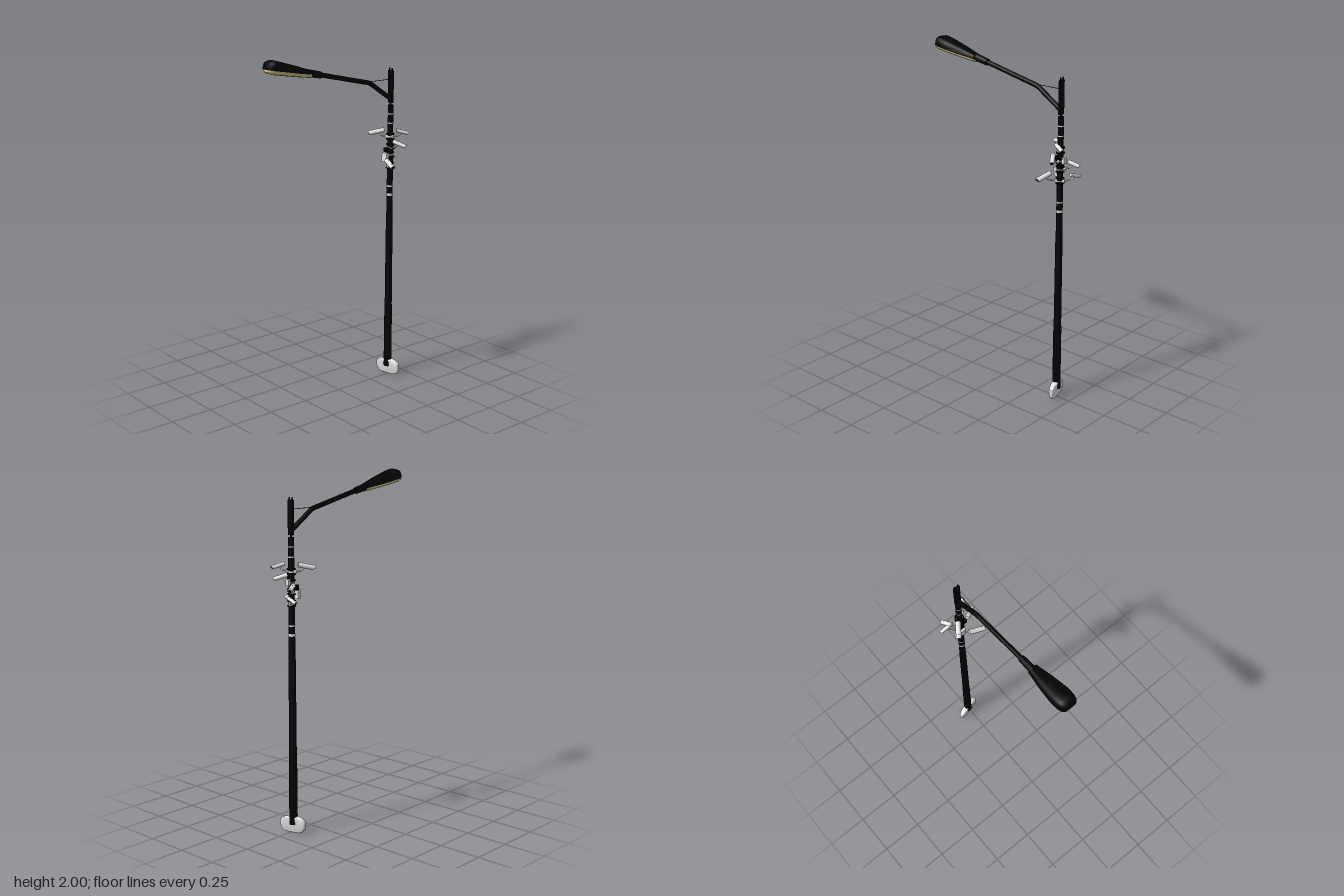
import * as THREE from 'three';
import { toCreasedNormals } from 'three/addons/utils/BufferGeometryUtils.js';

const mat = (name, color, side = THREE.FrontSide) =>
  Object.assign(new THREE.MeshStandardMaterial({ color, side }), { name });

export function createModel() {
  const model = new THREE.Group();
  model.name = 'streetLampWithCameras';
  const black = mat('blackPaint', 0x030303);
  const grey = mat('lightGrey', 0xe4e4e4, THREE.DoubleSide);
  const khaki = mat('lampGlass', 0xd8cc88);
  const PX = -0.01, PZ = -0.399; // pole axis
  const V = (x, y, z) => new THREE.Vector3(x, y, z);

  function add(name, geo, material, x = 0, y = 0, z = 0, parent = model) {
    const m = new THREE.Mesh(geo, material);
    m.name = name;
    m.position.set(x, y, z);
    parent.add(m);
    return m;
  }
  // Straight rod between two points
  function rod(name, a, b, r0, r1, material, sides = 12) {
    const m = add(name, new THREE.CylinderGeometry(r1, r0, a.distanceTo(b), sides), material);
    m.position.copy(a).add(b).multiplyScalar(0.5);
    m.quaternion.setFromUnitVectors(V(0, 1, 0), b.clone().sub(a).normalize());
    return m;
  }

  // Stepped pole with a narrow neck at the top
  const profile = [[0, 0.05], [0.024, 0.05], [0.023, 0.44], [0.0215, 0.45], [0.02, 1.0],
    [0.0185, 1.01], [0.0175, 1.3], [0.017, 1.31], [0.016, 1.67], [0.006, 1.671], [0.006, 1.69], [0, 1.69]];
  add('pole', toCreasedNormals(new THREE.LatheGeometry(
    profile.map(p => new THREE.Vector2(...p)), 16), 0.6), black, PX, 0, PZ);

  // Pale straps around the pole
  for (const [y, r, h] of [[1.138, 0.0193, 0.014], [1.19, 0.0191, 0.008],
    [1.565, 0.0175, 0.006], [1.62, 0.0173, 0.007]])
    add('poleBand', new THREE.CylinderGeometry(r, r, h, 16), grey, PX, y, PZ);

  // Flat mounting plate and pins on top
  add('topPlate', new THREE.BoxGeometry(0.036, 0.187, 0.012), black, PX, 1.7765, PZ);
  for (const s of [-1, 1])
    add('topPin', new THREE.CylinderGeometry(0.004, 0.004, 0.016, 8), black, PX + s * 0.011, 1.876, PZ);

  // Leaf-shaped upright foot shell, set slightly askew
  const foot = new THREE.Shape();
  foot.moveTo(-0.04, 0.012);
  foot.lineTo(0.03, 0.012);
  foot.quadraticCurveTo(0.056, 0.016, 0.06, 0.035);
  foot.lineTo(0.06, 0.07);
  foot.quadraticCurveTo(0.045, 0.09, 0, 0.092);
  foot.lineTo(-0.035, 0.091);
  foot.quadraticCurveTo(-0.075, 0.085, -0.076, 0.055);
  foot.quadraticCurveTo(-0.075, 0.014, -0.04, 0.012);
  const footGeo = new THREE.ExtrudeGeometry(foot, {
    depth: 0.016, bevelThickness: 0.012, bevelSize: 0.008, bevelSegments: 4, curveSegments: 8 });
  footGeo.translate(0, 0, -0.008);
  const fp = footGeo.attributes.position; // thinner towards the bottom and both ends
  for (let i = 0; i < fp.count; i++) {
    const x = fp.getX(i), low = 0.6 + 0.4 * Math.min(1, fp.getY(i) / 0.06);
    fp.setZ(i, fp.getZ(i) * low * (1 - 60 * (x + 0.01) ** 2) - 0.24 * (x + 0.01));
  }
  footGeo.computeVertexNormals();
  add('foot', toCreasedNormals(footGeo, 0.7), grey, 0, -0.004, PZ);

  // Lamp arm, tie rod and sleeve
  const arm = new THREE.CurvePath();
  const root = V(PX, 1.705, PZ), b0 = V(PX, 1.795, -0.262), b1 = V(PX, 1.817, -0.215), tip = V(PX, 1.895, 0.14);
  arm.add(new THREE.LineCurve3(root, b0));
  arm.add(new THREE.QuadraticBezierCurve3(b0, V(PX, 1.812, -0.24), b1));
  arm.add(new THREE.LineCurve3(b1, tip));
  add('lampArm', new THREE.TubeGeometry(arm, 40, 0.0135, 12), black);
  rod('tieRod', V(PX, 1.82, PZ), V(PX, 1.82, -0.235), 0.0018, 0.0018, black, 6);
  rod('armSleeve', V(PX, 1.89, 0.12), V(PX, 1.91, 0.215), 0.019, 0.021, black, 16);

  // Lamp head cross-sections: z, half width, top, rim, bottom
  const sections = [[0.2, 0, 1.905, 1.905, 1.905], [0.2, 0.028, 1.925, 1.902, 1.882],
    [0.3, 0.045, 1.957, 1.918, 1.896], [0.4, 0.056, 1.986, 1.936, 1.912],
    [0.45, 0.054, 1.999, 1.944, 1.92], [0.475, 0.047, 1.994, 1.948, 1.928],
    [0.487, 0.034, 1.978, 1.95, 1.937], [0.488, 0, 1.955, 1.95, 1.946]];
  function loft(upper) {
    const pos = [], idx = [], n = 14, pw = (v, e) => Math.sign(v) * Math.abs(v) ** e;
    const e = upper ? 0.7 : 0.9;
    sections.forEach(([z, w, top, rim, bottom], i) => {
      for (let j = 0; j <= n; j++) {
        const a = Math.PI * (j / n + (upper ? 0 : 1));
        const h = upper ? top - rim : rim - bottom;
        pos.push(PX + 0.003 + w * pw(Math.cos(a), e), rim + h * pw(Math.sin(a), e), z);
        if (i && j < n) {
          const p = (i - 1) * (n + 1) + j, q = p + n + 1;
          idx.push(p, p + 1, q, p + 1, q + 1, q);
        }
      }
    });
    const g = new THREE.BufferGeometry();
    g.setAttribute('position', new THREE.Float32BufferAttribute(pos, 3));
    g.setIndex(idx);
    return toCreasedNormals(g, 0.8);
  }
  add('lampHousing', loft(true), black);
  add('lampLens', loft(false), khaki);

  // Security cameras: inner end, outer (lens) end, radius
  const cameras = [
    [V(-0.037, 1.522, -0.375), V(-0.092, 1.502, -0.3), 0.015],
    [V(0.036, 1.525, -0.405), V(0.068, 1.505, -0.472), 0.012],
    [V(0.032, 1.463, -0.382), V(0.098, 1.435, -0.425), 0.013],
    [V(-0.048, 1.415, -0.422), V(-0.075, 1.392, -0.48), 0.013],
    [V(0.014, 1.35, -0.35), V(0.1, 1.322, -0.326), 0.015],
    [V(-0.035, 1.35, -0.452), V(-0.103, 1.327, -0.459), 0.011],
  ];
  for (const [inner, outer, r] of cameras) {
    const cam = new THREE.Group();
    cam.name = 'securityCamera';
    cam.position.copy(inner).add(outer).multiplyScalar(0.5);
    cam.lookAt(outer);
    model.add(cam);
    const len = inner.distanceTo(outer);
    const tube = (rad, l, ...rest) => new THREE.CylinderGeometry(rad, rad, l, 14, 1, ...rest).rotateX(Math.PI / 2);
    add('cameraBody', tube(r * 0.85, len * 0.92), grey, 0, 0, -len * 0.04, cam);
    add('cameraHood', tube(r, len, true, Math.PI * 0.45, Math.PI * 1.1), grey, 0, 0, 0, cam);
    add('cameraLens', tube(r * 0.6, 0.004), black, 0, 0, len * 0.42 + 0.001, cam);
    for (const s of [-1, 1])
      add('hoodScrew', new THREE.CylinderGeometry(0.0015, 0.0015, 0.002, 6), black, 0, r, s * len * 0.25, cam);
    // bracket: wall foot, elbow arm and a strap between two clamp rings
    const mid = inner.clone().lerp(outer, 0.35);
    const y = inner.y - 0.038;
    const away = V(inner.x - PX, 0, inner.z - PZ).normalize();
    const wall = V(PX, y, PZ).addScaledVector(away, 0.017);
    const elbow = V(mid.x, y + 0.002, mid.z);
    add('cameraBracket', new THREE.TubeGeometry(
      new THREE.QuadraticBezierCurve3(wall, elbow, mid), 10, 0.005, 8), grey);
    rod('bracketFoot', wall.clone().addScaledVector(away, -0.004),
      wall.clone().addScaledVector(away, 0.01), 0.013, 0.01, grey);
    add('bracketStrap', new THREE.CylinderGeometry(0.0195, 0.0195, 0.005, 16), grey, PX, y, PZ);
    for (const d of [-0.014, 0.014])
      add('clampRing', new THREE.TorusGeometry(0.022, 0.003, 6, 20).rotateX(Math.PI / 2), black, PX, y + d, PZ);
  }

  // Junction boxes on the pole
  add('junctionBox', new THREE.BoxGeometry(0.042, 0.055, 0.02), grey, -0.022, 1.362, PZ + 0.027).rotation.z = -0.12;
  for (const [y, s] of [[1.4, -1], [1.44, 1]])
    add('smallBox', new THREE.BoxGeometry(0.024, 0.03, 0.02), black, PX + s * 0.022, y, PZ + 0.012);
  add('rearBox', new THREE.BoxGeometry(0.022, 0.035, 0.016), grey, PX, 1.43, PZ - 0.026);

  return model;
}
